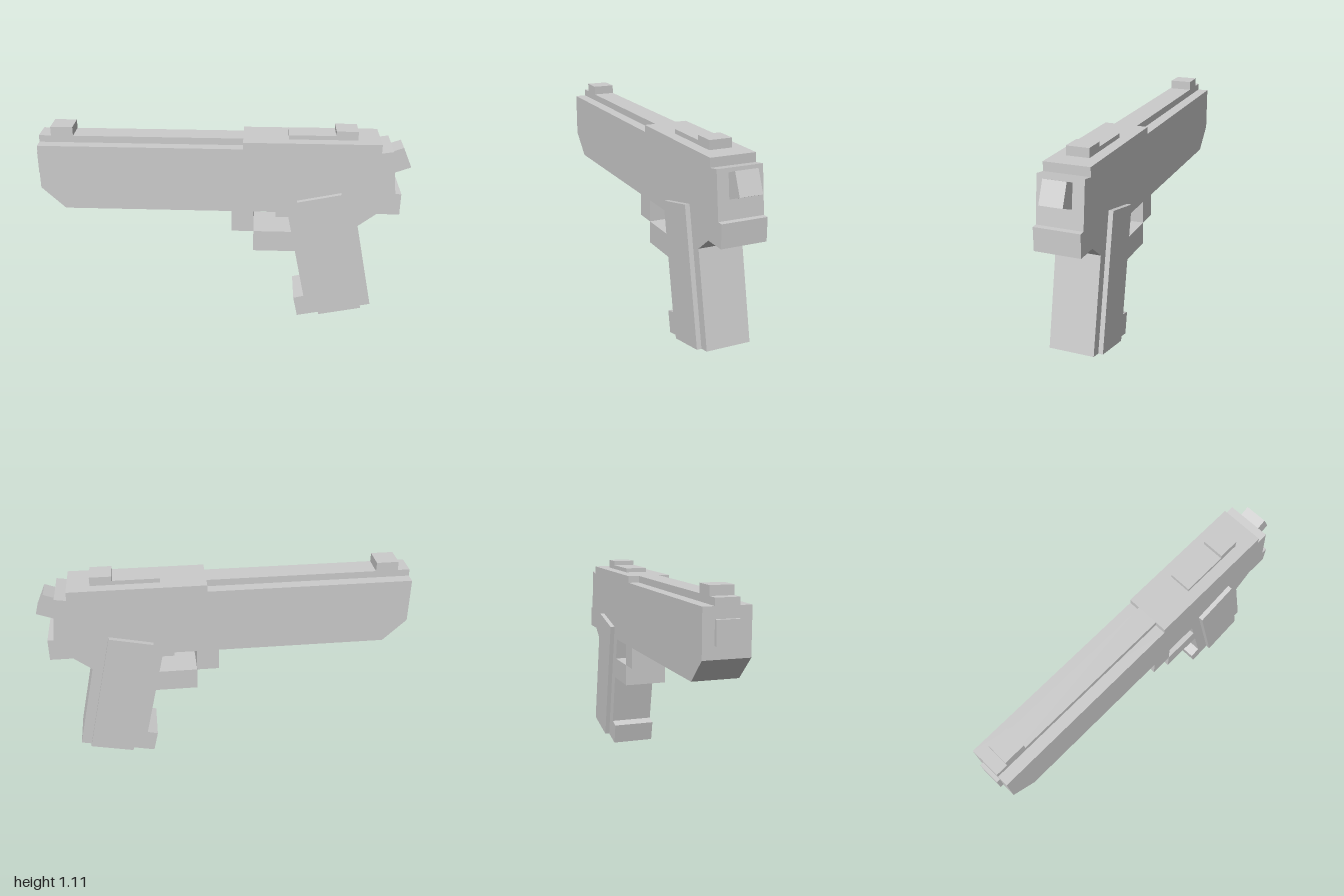
import * as THREE from 'three';

const material = new THREE.MeshStandardMaterial({ color: 0xcccccc, flatShading: true });

// Flat side outline extruded across z between z0 and z1
function slab(name, points, z0, z1) {
  const shape = new THREE.Shape(points.map(([x, y]) => new THREE.Vector2(x, y)));
  const geometry = new THREE.ExtrudeGeometry(shape, { depth: z1 - z0, bevelEnabled: false });
  geometry.translate(0, 0, z0);
  const mesh = new THREE.Mesh(geometry, material);
  mesh.name = name;
  return mesh;
}

// Box given by its side rectangle and half width
function block(name, x0, x1, y0, y1, half) {
  const mesh = new THREE.Mesh(new THREE.BoxGeometry(x1 - x0, y1 - y0, half * 2), material);
  mesh.position.set((x0 + x1) / 2, (y0 + y1) / 2, 0);
  mesh.name = name;
  return mesh;
}

export function createModel() {
  const model = new THREE.Group();
  model.name = 'pistol';
  const wide = 0.12, narrow = 0.06, outer = 0.145;

  // Slide, frame and grip in one silhouette
  model.add(slab('body', [
    [-0.98, 0.785], [-0.855, 0.665], [0.352, 0.665], [0.462, 0.135], [0.405, 0.12],
    [0.43, 0.004], [0.84, 0.092], [0.735, 0.59], [0.83, 0.665], [0.952, 0.665],
    [0.952, 0.785], [0.92, 0.785], [0.893, 1.025], [0.83, 1.015], [0.83, 1.062],
    [0.108, 1.062], [0.108, 1.025], [-0.98, 1.025],
  ], -wide, wide));

  // Raised rib along the slide, sights on top
  model.add(block('slideRib', -0.98, 0.108, 1.025, 1.062, narrow));
  model.add(block('frontSight', -0.915, -0.797, 1.062, 1.11, narrow));
  model.add(block('rearSightBase', 0.348, 0.595, 1.062, 1.085, narrow));
  model.add(block('rearSight', 0.595, 0.71, 1.062, 1.11, narrow));

  // Muzzle and underside rail
  model.add(block('muzzle', -1, -0.98, 0.848, 0.967, narrow));
  model.add(block('underRail', -0.74, 0.05, 0.642, 0.665, narrow));

  // Trigger and its guard
  model.add(block('guardFront', 0.05, 0.17, 0.545, 0.665, wide));
  model.add(slab('guardBottom', [[0.17, 0.425], [0.402, 0.425], [0.377, 0.545], [0.17, 0.545]], -wide, wide));
  model.add(slab('trigger', [[0.29, 0.605], [0.364, 0.605], [0.352, 0.665], [0.29, 0.665]], -narrow, narrow));

  // Hammer
  model.add(slab('hammer', [[0.908, 0.88], [1, 0.915], [0.952, 1.025], [0.893, 1.003]], -narrow, narrow));

  // Grip panels on both sides
  const panel = [[0.4, 0.735], [0.55, 0.03], [0.785, 0.08], [0.635, 0.785]].reverse();
  model.add(slab('leftGripPanel', panel, wide, outer));
  model.add(slab('rightGripPanel', panel, -outer, -wide));

  return model;
}
